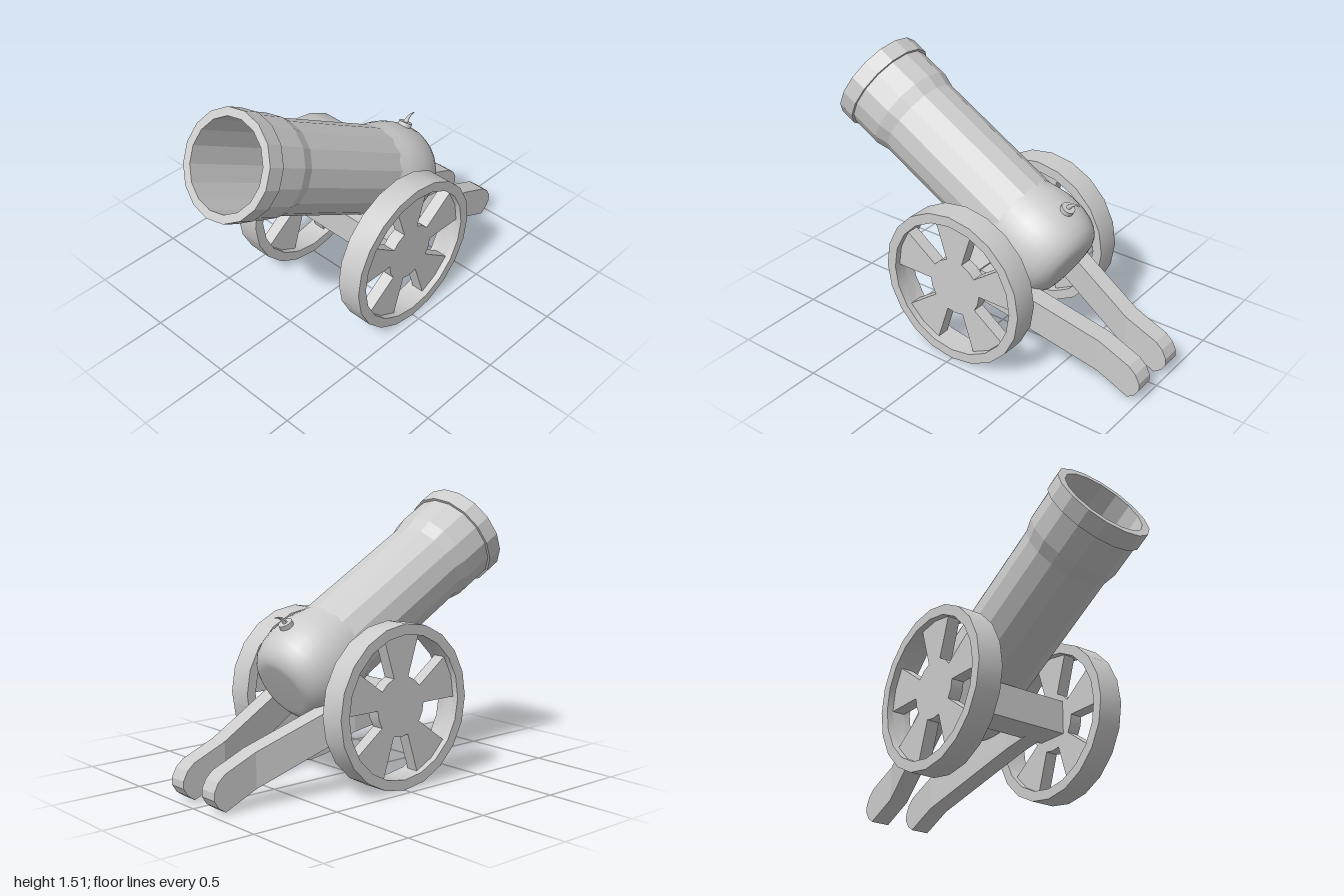
import * as THREE from 'three';
import { toCreasedNormals } from 'three/addons/utils/BufferGeometryUtils.js';

const flat = new THREE.MeshStandardMaterial({ color: 0xcccccc, flatShading: true });
const smooth = new THREE.MeshStandardMaterial({ color: 0xcccccc });

function mesh(name, geometry, material = flat) {
  const m = new THREE.Mesh(geometry, material);
  m.name = name;
  return m;
}

// Lathe profile given as [distance behind muzzle, radius], rear to front
function lathe(profile, sides) {
  return new THREE.LatheGeometry(profile.map(([t, r]) => new THREE.Vector2(r, -t)), sides);
}

// Points of an arc on a 20-sided circle, counted in 18 degree steps
function arc(r, from, to) {
  const points = [];
  const step = Math.sign(to - from);
  for (let i = from; i !== to + step; i += step) {
    const a = (i * Math.PI) / 10;
    points.push(new THREE.Vector2(r * Math.cos(a), r * Math.sin(a)));
  }
  return points;
}

// Extrude a wheel outline along x, centred on the wheel
function slab(shape, depth) {
  const g = new THREE.ExtrudeGeometry(shape, { depth, bevelEnabled: false });
  g.translate(0, 0, -depth / 2).rotateY(Math.PI / 2);
  return toCreasedNormals(g, 0.5);
}

function createWheel(name) {
  const wheel = new THREE.Group();
  wheel.name = name;

  const rim = new THREE.Shape(arc(0.435, 0, 19));
  rim.holes.push(new THREE.Path(arc(0.38, 19, 0)));
  wheel.add(mesh('rim', slab(rim, 0.14), smooth));

  // Hub and five wide spokes: a disc with five openings
  const disc = new THREE.Shape(arc(0.39, 0, 19));
  for (let k = 0; k < 5; k++) {
    const s = 2 + k * 4;
    disc.holes.push(new THREE.Path([...arc(0.38, s, s + 2), ...arc(0.16, s + 2, s)]));
  }
  wheel.add(mesh('spokes', slab(disc, 0.07), smooth));
  return wheel;
}

// Trail beam from upright rectangular sections [z, inner x, bottom, top]
function trailGeometry(side) {
  const width = 0.105;
  const sections = [
    [-1.0, 0.08, 0.08, 0.12],
    [-0.975, 0.08, 0.04, 0.168],
    [-0.935, 0.08, 0.012, 0.203],
    [-0.75, 0.08, 0.093, 0.28],
    [-0.22, 0.21, 0.32, 0.505],
    [-0.05, 0.21, 0.345, 0.53],
  ];
  const positions = [];
  const index = [];
  for (const [z, x, low, high] of sections) {
    const a = side * x;
    const b = side * (x + width);
    const [l, r] = [Math.min(a, b), Math.max(a, b)];
    positions.push(l, low, z, r, low, z, r, high, z, l, high, z);
  }
  for (let s = 0; s < sections.length - 1; s++) {
    for (let j = 0; j < 4; j++) {
      const a = s * 4 + j;
      const b = s * 4 + ((j + 1) % 4);
      index.push(a, b, b + 4, a, b + 4, a + 4);
    }
  }
  const e = (sections.length - 1) * 4;
  index.push(0, 2, 1, 0, 3, 2, e, e + 1, e + 2, e, e + 2, e + 3);
  const g = new THREE.BufferGeometry();
  g.setAttribute('position', new THREE.Float32BufferAttribute(positions, 3));
  g.setIndex(index);
  g.computeVertexNormals();
  return g;
}

// Curved fuse, tapered to a point
function fuseGeometry() {
  const curve = new THREE.QuadraticBezierCurve3(
    new THREE.Vector3(0, 0, 0),
    new THREE.Vector3(0, 0.045, 0),
    new THREE.Vector3(0, 0.065, 0.045)
  );
  const steps = 6;
  const sides = 8;
  const g = new THREE.TubeGeometry(curve, steps, 0.014, sides);
  const p = g.attributes.position;
  const v = new THREE.Vector3();
  for (let i = 0; i < p.count; i++) {
    const t = Math.floor(i / (sides + 1)) / steps;
    const c = curve.getPointAt(t);
    v.fromBufferAttribute(p, i).sub(c).multiplyScalar(1 - 0.9 * t).add(c);
    p.setXYZ(i, v.x, v.y, v.z);
  }
  g.computeVertexNormals();
  return g;
}

function createBarrel() {
  const barrel = new THREE.Group();
  barrel.name = 'barrel';

  // Tube with stepped muzzle ring and a hollow bore
  barrel.add(mesh('tube', lathe([
    [1.14, 0.243], [0.345, 0.243], [0.27, 0.262], [0.095, 0.262],
    [0.095, 0.276], [0, 0.276], [0, 0.232], [0.69, 0.232], [0.69, 0],
  ], 16)));

  // Rounded breech with a flat back
  barrel.add(mesh('breech', lathe([
    [1.5, 0], [1.5, 0.14], [1.496, 0.17], [1.478, 0.205], [1.445, 0.235],
    [1.4, 0.256], [1.34, 0.269], [1.28, 0.272], [1.22, 0.269], [1.16, 0.257], [1.09, 0.238],
  ], 32), smooth));

  // Fuse on the upper side of the breech
  const vent = new THREE.Group();
  vent.name = 'fuseVent';
  vent.position.set(0, -1.31, -0.272);
  vent.rotation.x = -Math.PI / 2;
  vent.add(mesh('ventRing', new THREE.CylinderGeometry(0.038, 0.038, 0.04, 16)));
  const fuse = mesh('fuse', fuseGeometry(), smooth);
  fuse.position.y = 0.015;
  // Local +z points towards the rear here
  fuse.rotation.y = Math.PI;
  vent.add(fuse);
  // Keep the curl leaning to the back of the barrel
  fuse.rotation.y = new THREE.Vector3(0, 0, 1).applyEuler(vent.rotation).y < 0 ? 0 : Math.PI;

  barrel.add(vent);
  barrel.position.set(0, 1.267, 0.86);
  barrel.rotation.x = Math.PI / 3;
  return barrel;
}

export function createModel() {
  const model = new THREE.Group();
  model.name = 'cannon';
  model.add(createBarrel());

  // Square axle beam between the wheels
  const axle = mesh('axle', new THREE.BoxGeometry(0.76, 0.185, 0.185));
  axle.position.set(0, 0.4375, 0);
  model.add(axle);

  for (const [side, label] of [[1, 'left'], [-1, 'right']]) {
    const wheel = createWheel(label + 'Wheel');
    wheel.position.set(side * 0.385, 0.435, 0);
    model.add(wheel);
    model.add(mesh(label + 'Trail', trailGeometry(side)));
  }
  return model;
}
